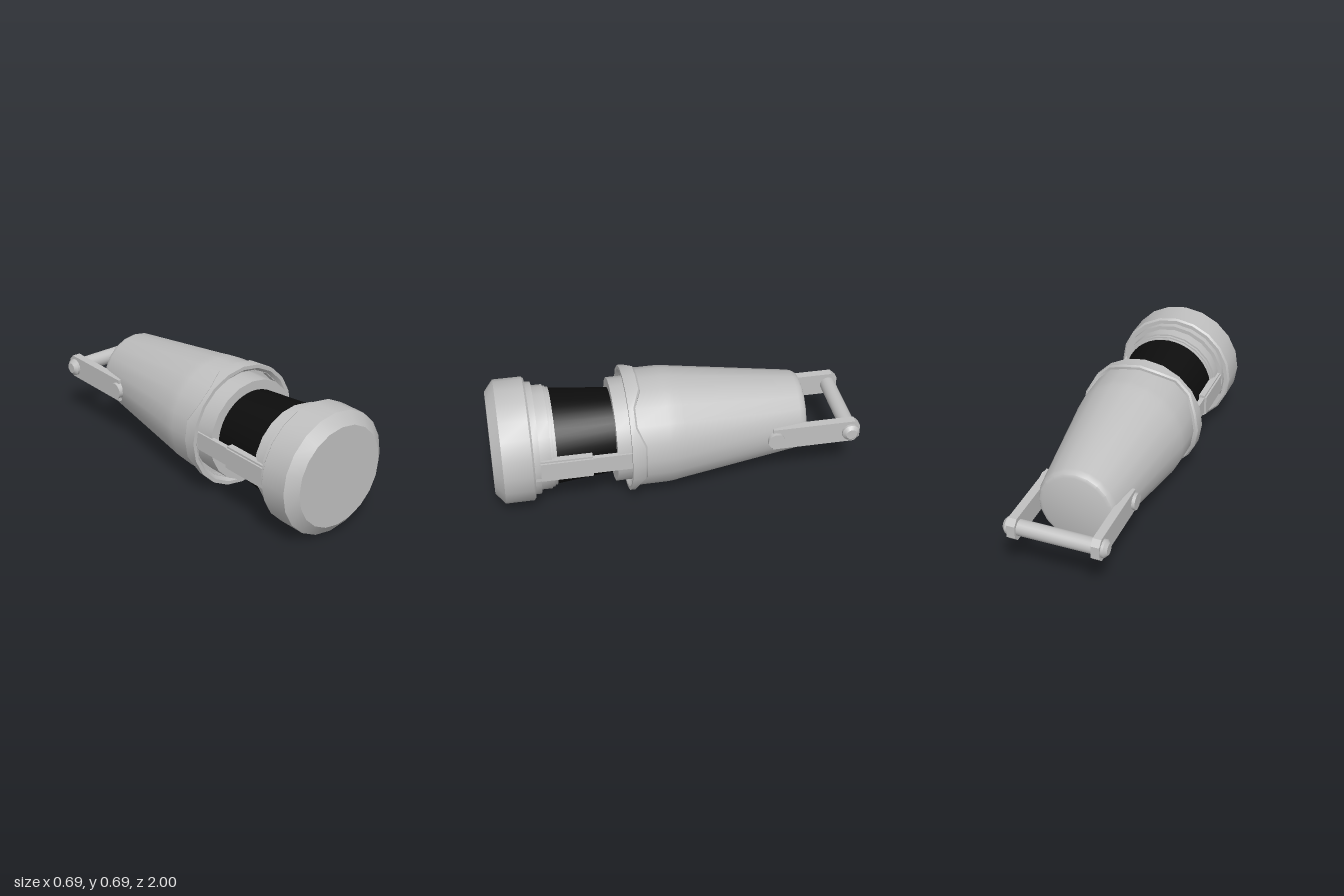
import * as THREE from 'three';
import { toCreasedNormals } from 'three/addons/utils/BufferGeometryUtils.js';

const SIDES = 20;
const AXIS_Y = 0.347; // height of the long axis
const ARM_Y = -0.009; // arms and handle sit a touch below the axis

export function createModel() {
  const metal = new THREE.MeshStandardMaterial({ color: 0xc0c0c0 });
  metal.name = 'grey metal';
  const black = new THREE.MeshStandardMaterial({ color: 0x0d0d0d });
  black.name = 'black core';

  const model = new THREE.Group();
  model.name = 'canister';
  const axis = new THREE.Group();
  axis.name = 'mainAxis';
  axis.position.y = AXIS_Y;
  model.add(axis);

  function add(name, geometry, material = metal, parent = axis) {
    const mesh = new THREE.Mesh(geometry, material);
    mesh.name = name;
    parent.add(mesh);
    return mesh;
  }

  // Turned part along z; profile is [radius, z] from back to front
  function turned(profile, sides = SIDES) {
    const g = new THREE.LatheGeometry(profile.map(([r, z]) => new THREE.Vector2(r, z)), sides);
    return g.rotateX(Math.PI / 2);
  }
  const crease = (g) => toCreasedNormals(g, 0.55);

  function box(name, parent, x0, x1, halfY, z0, z1) {
    const m = add(name, new THREE.BoxGeometry(Math.abs(x1 - x0), halfY * 2, z1 - z0), metal, parent);
    m.position.set((x0 + x1) / 2, ARM_Y, (z0 + z1) / 2);
  }

  // Pin along x
  function pin(name, parent, rInner, rOuter, x0, x1, z, sides) {
    const g = new THREE.CylinderGeometry(rOuter, rInner, Math.abs(x1 - x0), sides);
    g.rotateZ(x1 > x0 ? -Math.PI / 2 : Math.PI / 2);
    const m = add(name, crease(g), metal, parent);
    m.position.set((x0 + x1) / 2, ARM_Y, z);
  }

  // Tapered body with a shallow recess at its mouth
  add('body', crease(turned([
    [0, -0.715], [0.185, -0.715], [0.203, -0.708], [0.213, -0.695], [0.219, -0.675],
    [0.312, -0.02], [0.319, 0.02], [0.322, 0.06], [0.322, 0.25],
    [0.305, 0.25], [0.305, 0.2], [0, 0.2],
  ])));

  // Rim whose back edge is cut away at the four diagonals
  const rim = turned([
    [0.315, 0.19], [0.336, 0.19], [0.345, 0.2], [0.345, 0.27], [0.325, 0.27], [0.304, 0.245],
  ]);
  const p = rim.attributes.position;
  for (let i = 0; i < p.count; i++) {
    const step = Math.round(Math.atan2(p.getY(i), p.getX(i)) / (Math.PI / 10) + 20) % 5;
    if (p.getZ(i) < 0.21 && (step === 2 || step === 3)) p.setZ(i, p.getZ(i) + 0.042);
  }
  add('scallopedRim', crease(rim));

  // Collar, core and stepped head
  add('collar', crease(turned([[0.285, 0.2], [0.285, 0.34], [0, 0.34]])));
  add('core', crease(turned([[0.23, 0.335], [0.263, 0.668]], 40)), black);
  add('headSteps', crease(turned([
    [0, 0.66], [0.268, 0.66], [0.268, 0.675], [0.276, 0.675], [0.276, 0.69],
    [0.285, 0.69], [0.285, 0.752], [0.307, 0.752], [0.307, 0.79],
  ])));
  add('head', crease(turned([
    [0, 0.785], [0.328, 0.785], [0.338, 0.795], [0.338, 0.95], [0.277, 1.0], [0, 1.0],
  ])));

  // Handle plate outline with chamfered far corners, (z, y)
  const plate = new THREE.Shape([
    [-0.515, -0.065], [-0.515, 0.065], [-0.97, 0.065], [-1, 0.035], [-1, -0.035], [-0.97, -0.065],
  ].map(([z, y]) => new THREE.Vector2(-z, y)));

  for (const s of [1, -1]) {
    const side = s > 0 ? 'left' : 'right';

    // Sliding arm between head and body
    const arm = new THREE.Group();
    arm.name = side + 'Arm';
    axis.add(arm);
    box('wideArm', arm, s * 0.255, s * 0.29, 0.065, 0.475, 0.79);
    box('raisedArmFace', arm, s * 0.285, s * 0.3, 0.055, 0.475, 0.79);
    box('narrowArm', arm, s * 0.262, s * 0.288, 0.05, 0.2, 0.48);

    // Handle plate with its bolts
    const handle = new THREE.Group();
    handle.name = side + 'HandleSide';
    axis.add(handle);
    const g = new THREE.ExtrudeGeometry(plate, { depth: 0.046, bevelEnabled: false });
    g.rotateY(Math.PI / 2);
    const m = add('handlePlate', g, metal, handle);
    m.position.set(s > 0 ? 0.204 : -0.25, ARM_Y, 0);
    pin('pivotBolt', handle, 0.046, 0.046, s * 0.22, s * 0.268, -0.53, 20);
    pin('barEndBase', handle, 0.048, 0.048, s * 0.25, s * 0.264, -0.947, 16);
    pin('barEndCap', handle, 0.048, 0.03, s * 0.264, s * 0.281, -0.947, 16);
  }

  // Grip bar
  pin('gripBar', axis, 0.043, 0.043, -0.21, 0.21, -0.947, 20);

  return model;
}
